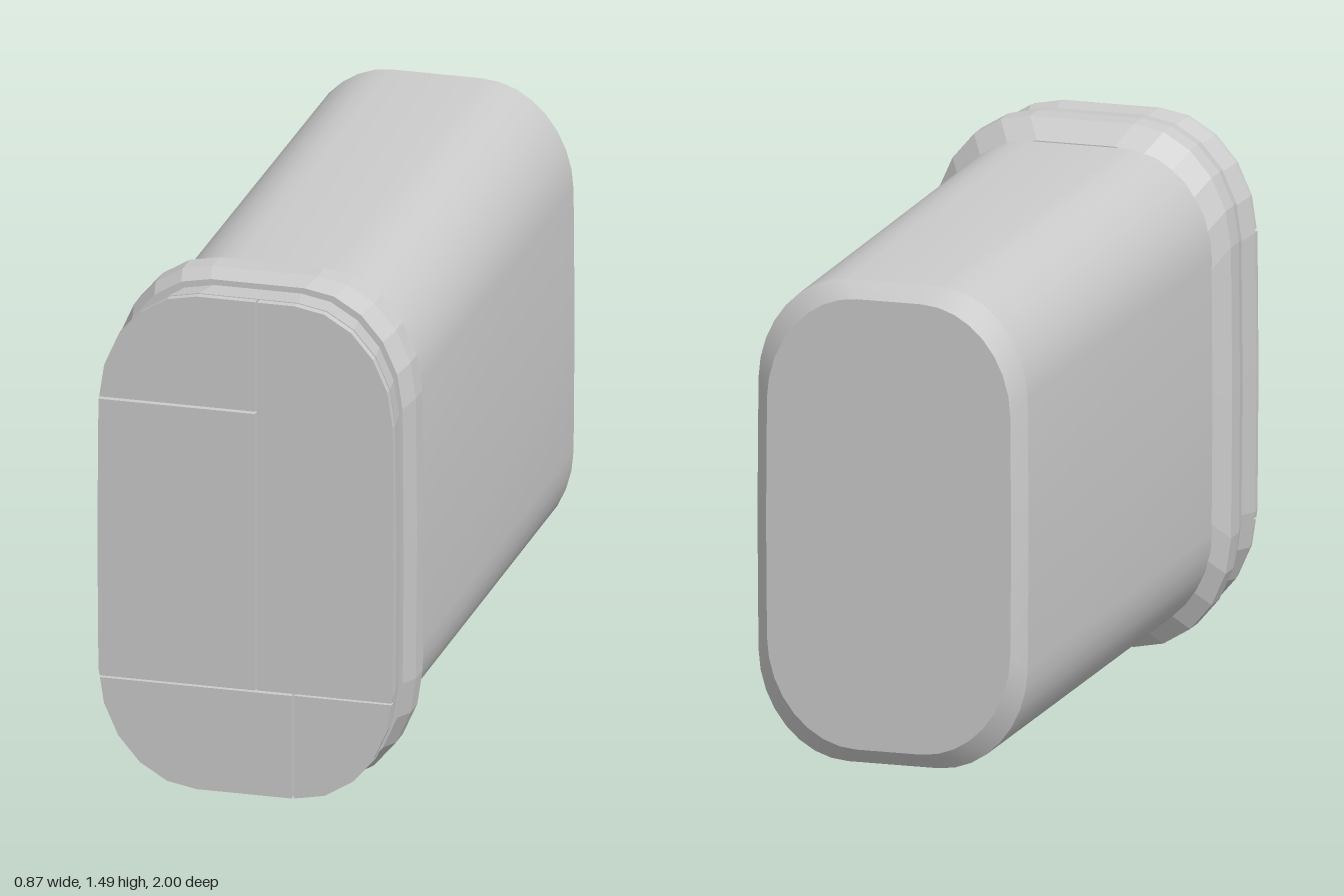
import * as THREE from 'three';
import { toCreasedNormals } from 'three/addons/utils/BufferGeometryUtils.js';

const MID_Y = 0.745;

// Rounded outline, counter-clockwise seen from the front, with slightly bowed sides
function outline(hw, hh, rx, ry, seg) {
  const pts = [];
  for (let q = 0; q < 4; q++) {
    const sx = q === 0 || q === 3 ? 1 : -1;
    const sy = q < 2 ? 1 : -1;
    for (let i = 0; i <= seg; i++) {
      const a = (q + i / seg) * Math.PI / 2;
      const x = sx * (hw - rx) + rx * Math.cos(a);
      const y = sy * (hh - ry) + ry * Math.sin(a);
      pts.push(new THREE.Vector2(x * (1 - 0.025 * (y / hh) ** 2), y + MID_Y));
    }
    // midpoint of the long sides
    if (q === 1) pts.push(new THREE.Vector2(-hw, MID_Y));
    if (q === 3) pts.push(new THREE.Vector2(hw, MID_Y));
  }
  return pts;
}

// Closed solid through sections [z, halfWidth, halfHeight], from back to front
function loft(sections, rx, ry, seg, crease) {
  const pos = [], idx = [];
  const rings = sections.map(([z, hw, hh]) => ({ z, pts: outline(hw, hh, rx, ry, seg) }));
  const n = rings[0].pts.length;
  rings.forEach(({ z, pts }) => pts.forEach(p => pos.push(p.x, p.y, z)));
  for (let r = 0; r < rings.length - 1; r++) {
    for (let i = 0; i < n; i++) {
      const a = r * n + i, b = r * n + (i + 1) % n;
      idx.push(a, b, a + n, b, b + n, a + n);
    }
  }
  const back = pos.length / 3, front = back + 1, last = (rings.length - 1) * n;
  pos.push(0, MID_Y, rings[0].z, 0, MID_Y, rings[rings.length - 1].z);
  for (let i = 0; i < n; i++) {
    const j = (i + 1) % n;
    idx.push(back, j, i, front, last + i, last + j);
  }
  const g = new THREE.BufferGeometry();
  g.setAttribute('position', new THREE.Float32BufferAttribute(pos, 3));
  g.setIndex(idx);
  return toCreasedNormals(g, crease);
}

// Keep the part of a polygon where sign * p[axis] <= sign * limit
function clip(pts, axis, limit, sign) {
  const out = [];
  pts.forEach((p, i) => {
    const q = pts[(i + 1) % pts.length];
    const dp = sign * (limit - p[axis]), dq = sign * (limit - q[axis]);
    if (dp >= 0) out.push(p);
    if (dp * dq < 0) out.push(p.clone().lerp(q, dp / (dp - dq)));
  });
  return out;
}

export function createModel() {
  const group = new THREE.Group();
  const grey = new THREE.MeshStandardMaterial({ color: 0xcccccc });
  const faceted = new THREE.MeshStandardMaterial({ color: 0xcccccc, flatShading: true });
  const add = (name, geometry, material) => {
    const mesh = new THREE.Mesh(geometry, material);
    mesh.name = name;
    group.add(mesh);
  };

  // Long smooth body with a chamfered rear end
  add('body', loft([
    [-1, 0.355, 0.64], [-0.96, 0.393, 0.685], [0.7, 0.397, 0.687],
  ], 0.26, 0.3, 8, 0.5), grey);

  // Raised collar sloping down to the body
  add('collar', loft([
    [0.67, 0.395, 0.69], [0.73, 0.435, 0.743], [0.8, 0.435, 0.743], [0.875, 0.418, 0.733],
  ], 0.28, 0.33, 5, 0.3), faceted);

  // Front cap core, seen through the seams between the panels
  add('capCore', loft([
    [0.86, 0.405, 0.715], [0.975, 0.426, 0.727],
  ], 0.28, 0.33, 5, 0.3), faceted);

  // Front panels: [name, x0, x1, y0, y1, front z]
  const g = 0.003;
  const panels = [
    ['upperPanel', -1, 0.03, 1.145, 2, 0.997],
    ['middlePanel', -1, 0.03, 0.325, 1.145, 1],
    ['sidePanel', 0.03, 1, 0.325, 2, 0.998],
    ['lowerPanel', -1, 0.135, -1, 0.325, 0.999],
    ['cornerPanel', 0.135, 1, -1, 0.325, 0.996],
  ];
  for (const [name, x0, x1, y0, y1, z] of panels) {
    let pts = outline(0.424, 0.725, 0.28, 0.33, 5);
    pts = clip(pts, 'x', x1 - g, 1);
    pts = clip(pts, 'x', x0 + g, -1);
    pts = clip(pts, 'y', y1 - g, 1);
    pts = clip(pts, 'y', y0 + g, -1);
    const geo = new THREE.ExtrudeGeometry(new THREE.Shape(pts), { depth: z - 0.97, bevelEnabled: false });
    geo.translate(0, 0, 0.97);
    add(name, geo, faceted);
  }
  return group;
}
